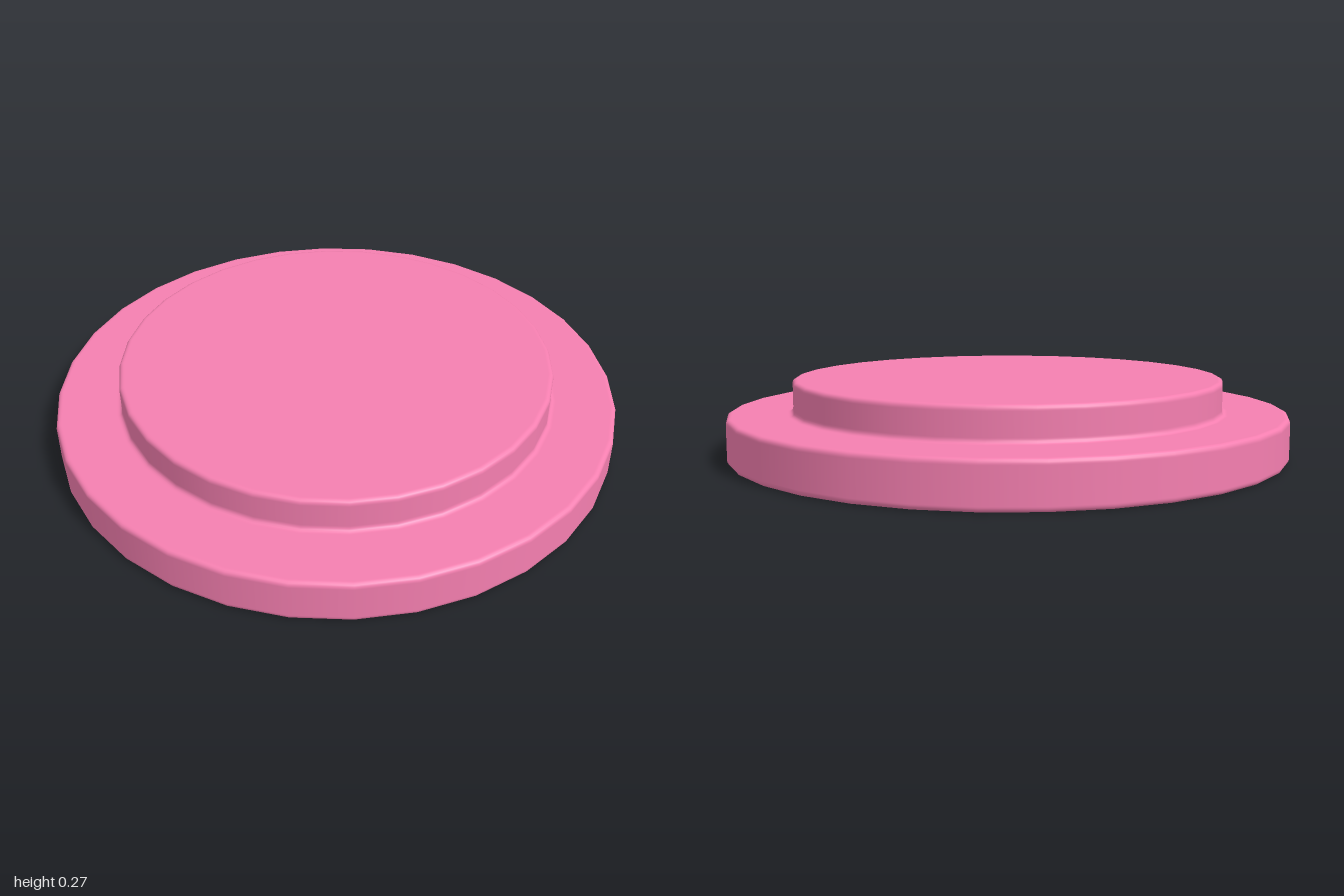
import * as THREE from 'three';

const SIDES = 32;

// Quarter-circle of profile points, with a support point at each end to keep the flats flat
function corner(cx, cy, r, from, to, steps = 4) {
  const points = [];
  for (let i = 0; i <= steps; i++) {
    const a = THREE.MathUtils.degToRad(from + ((to - from) * i) / steps);
    points.push(new THREE.Vector2(cx + r * Math.cos(a), cy + r * Math.sin(a)));
  }
  const first = points[0], last = points[steps], e = 0.004;
  const turn = Math.sign(to - from);
  const along = (deg, s) => {
    const a = THREE.MathUtils.degToRad(deg);
    return new THREE.Vector2(-Math.sin(a) * s * turn, Math.cos(a) * s * turn);
  };
  return [first.clone().add(along(from, -e)), ...points, last.clone().add(along(to, e))];
}

export function createModel() {
  const group = new THREE.Group();
  group.name = 'steppedDisc';

  const baseR = 1, baseTop = 0.155, capR = 0.77, capTop = 0.273, bevel = 0.015;

  // Half section: underside, wide base, small fillet at the step, raised cap
  const profile = [
    new THREE.Vector2(0, 0),
    ...corner(baseR - bevel, bevel, bevel, -90, 0),
    ...corner(baseR - bevel, baseTop - bevel, bevel, 0, 90),
    ...corner(capR + bevel, baseTop + bevel, bevel, 270, 180),
    ...corner(capR - bevel, capTop - bevel, bevel, 0, 90),
    new THREE.Vector2(0, capTop),
  ];

  const disc = new THREE.Mesh(
    new THREE.LatheGeometry(profile, SIDES),
    new THREE.MeshStandardMaterial({ color: 0xf57fb0 })
  );
  disc.name = 'baseAndRaisedCap';
  group.add(disc);
  return group;
}
